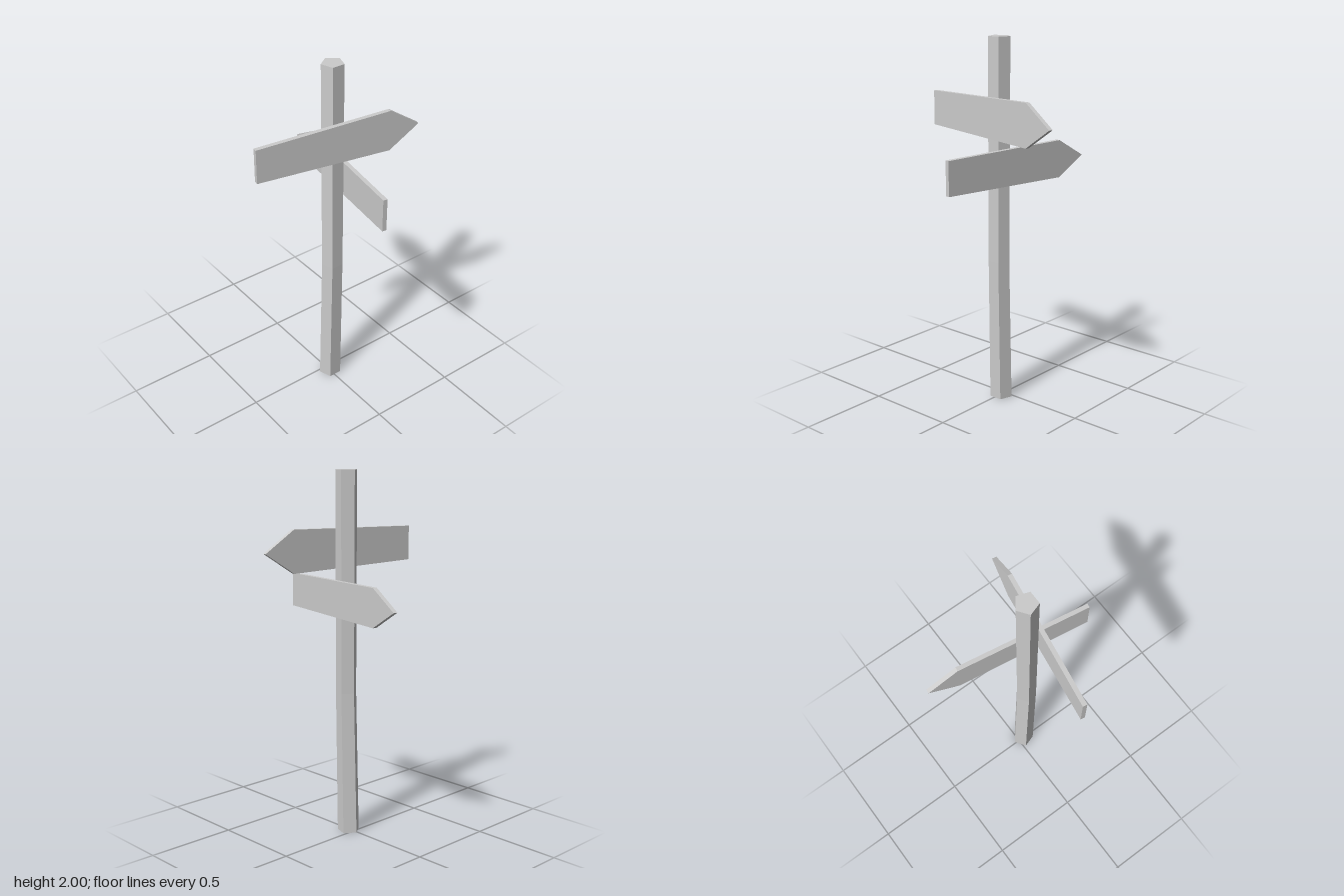
import * as THREE from 'three';

const material = new THREE.MeshStandardMaterial({ color: 0xcccccc, flatShading: true });

// Five-sided post, slightly bowed: each ring is shifted in z and scaled
function createPost() {
  const geometry = new THREE.CylinderGeometry(0.0625, 0.0625, 2, 5, 2, false, Math.PI);
  geometry.translate(0, 1, 0);
  const rings = [
    { y: 0, z: 0.034, s: 1 },
    { y: 0.8, z: 0.05, s: 0.94 },
    { y: 2, z: 0.046, s: 0.97 },
  ];
  const p = geometry.attributes.position;
  for (let i = 0; i < p.count; i++) {
    const ring = rings[Math.round(p.getY(i))];
    p.setXYZ(i, p.getX(i) * ring.s + 0.007, ring.y, p.getZ(i) * ring.s + ring.z);
  }
  geometry.computeVertexNormals();
  const post = new THREE.Mesh(geometry, material);
  post.name = 'post';
  return post;
}

// Arrow board along +x, flaring from the tail to the shoulder of the point
function createBoard(name, tailHalf, shoulderHalf, position, angle) {
  const thickness = 0.024;
  const shape = new THREE.Shape([
    [-0.464, -tailHalf],
    [0.292, -shoulderHalf],
    [0.464, 0],
    [0.292, shoulderHalf],
    [-0.464, tailHalf],
  ].map(([x, y]) => new THREE.Vector2(x, y)));
  const geometry = new THREE.ExtrudeGeometry(shape, { depth: thickness, bevelEnabled: false });
  geometry.translate(0, 0, -thickness / 2);
  const board = new THREE.Mesh(geometry, material);
  board.name = name;
  board.position.set(...position);
  board.rotation.y = angle;
  return board;
}

export function createModel() {
  const model = new THREE.Group();
  model.name = 'signpost';
  model.add(
    createPost(),
    createBoard('upperArrowBoard', 0.094, 0.115, [-0.001, 1.583, 0.113], -0.154),
    createBoard('lowerArrowBoard', 0.092, 0.103, [0.09, 1.324, -0.001], 1.418),
  );
  return model;
}
